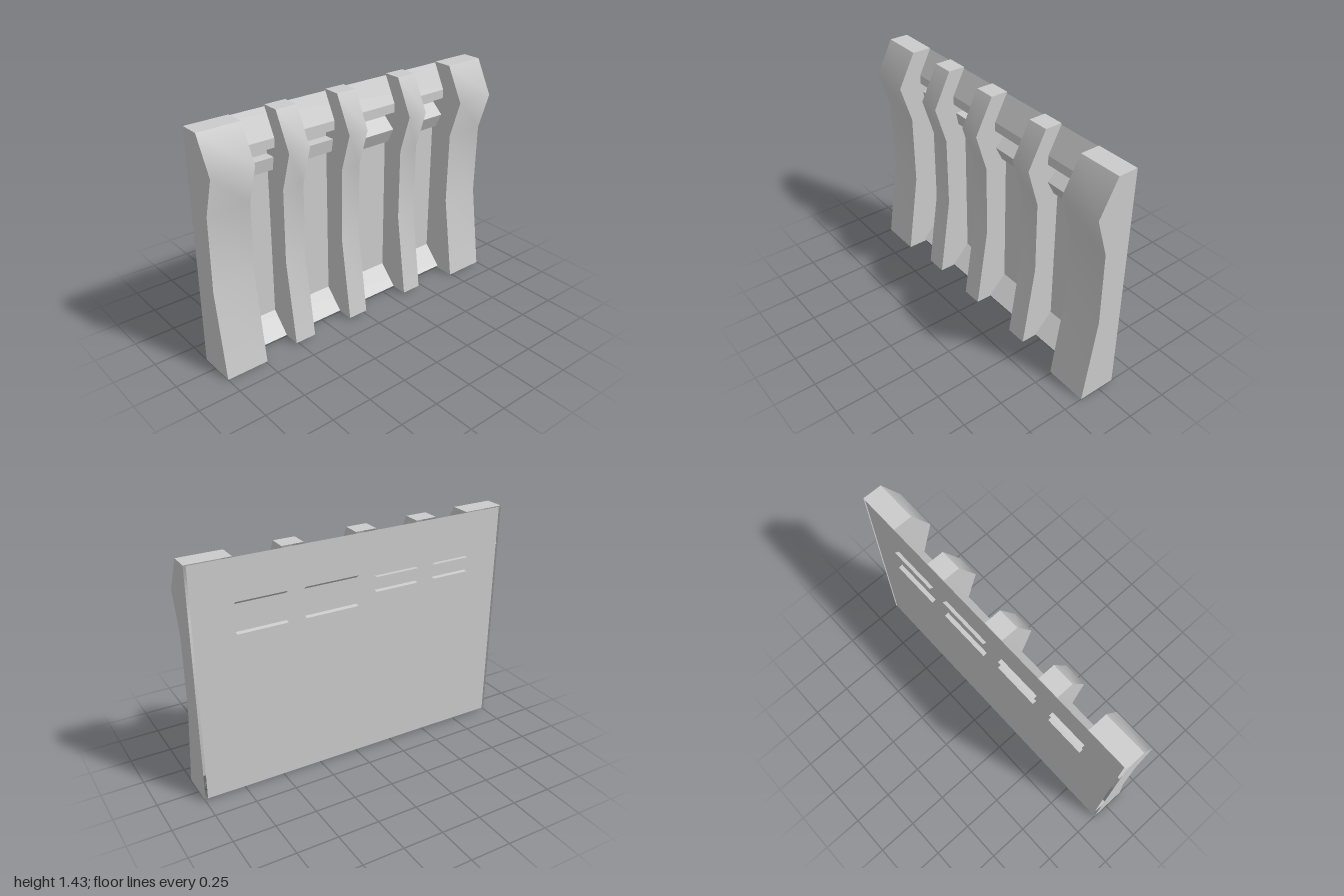
import * as THREE from 'three';

const material = new THREE.MeshStandardMaterial({ color: 0xcccccc, side: THREE.DoubleSide });

// Sweeps a [z, y] profile, listed from the top down, across x.
function sheet(profile, x0, x1, smooth = false) {
  const positions = [];
  const index = [];
  profile.forEach(([z, y], i) => {
    positions.push(x0, y, z, x1, y, z);
    if (i > 0) {
      const a = 2 * (i - 1);
      index.push(a, a + 2, a + 3, a, a + 3, a + 1);
    }
  });
  let geometry = new THREE.BufferGeometry();
  geometry.setAttribute('position', new THREE.Float32BufferAttribute(positions, 3));
  geometry.setIndex(index);
  if (!smooth) geometry = geometry.toNonIndexed();
  geometry.computeVertexNormals();
  return geometry;
}

// Flat side wall of a [z, y] outline, facing +x or -x.
function sideWall(outline, x, direction) {
  const shape = new THREE.Shape(outline.map(([z, y]) => new THREE.Vector2(-direction * z, y)));
  return new THREE.ShapeGeometry(shape).rotateY(direction * Math.PI / 2).translate(x, 0, 0);
}

function add(parent, name, geometry) {
  const mesh = new THREE.Mesh(geometry, material);
  mesh.name = name;
  parent.add(mesh);
}

// Hollow rib: smooth curved face, flat top and two side walls.
function makeRib(name, x0, x1, front, back) {
  const rib = new THREE.Group();
  rib.name = name;
  const top = front[0];
  const bottom = front[front.length - 1];
  add(rib, 'ribFace', sheet(front, x0, x1, true));
  add(rib, 'ribTop', sheet([[back, top[1]], top], x0, x1));
  const outline = [[back, top[1]], ...front, [back, bottom[1]]];
  add(rib, 'ribRightSide', sideWall(outline, x0, -1));
  add(rib, 'ribLeftSide', sideWall(outline, x1, 1));
  return rib;
}

export function createModel() {
  const model = new THREE.Group();
  model.name = 'wallPanel';
  const back = -0.105;

  // Thin back wall with the sloping lintel and sill in front of it
  add(model, 'backWall', sheet([[back, 1.42], [back, 0.015]], -0.985, 0.985));
  add(model, 'lintel', sheet([[back, 1.42], [-0.025, 1.265], [-0.025, 1.21], [back, 1.185]], -0.995, 0.96));
  add(model, 'sill', sheet([[back, 0.135], [0.01, 0.015]], -0.985, 0.985));

  // Wide ribs at the ends
  const wide = [[0.015, 1.425], [0.125, 1.215], [0.053, 0.98], [0.05, 0.53], [0.13, 0]];
  model.add(makeRib('rightEndRib', -1, -0.74, wide, back));
  model.add(makeRib('leftEndRib', 0.74, 1, wide, back));

  // Narrow ribs between the bays
  const narrow = [[0, 1.43], [0.108, 1.215], [0.037, 0.98], [0.034, 0.53], [0.11, 0.012]];
  [[-0.52, -0.385], [-0.115, 0.015], [0.335, 0.465]].forEach(([x0, x1], i) => {
    model.add(makeRib('middleRib' + (i + 1), x0, x1, narrow, back));
  });

  // Rails under the lintel, passing through the back wall
  const slimRail = [[-0.13, 1.15], [-0.04, 1.15], [-0.055, 1.07], [-0.13, 1.06]];
  const deepRail = [[-0.13, 1.185], [back, 1.165], [-0.03, 1.1], [-0.075, 1.01], [-0.13, 1]];
  add(model, 'slimRailOuter', sheet(slimRail, -0.75, -0.51));
  add(model, 'slimRailInner', sheet(slimRail, -0.39, -0.11));
  add(model, 'deepRailInner', sheet(deepRail, 0.01, 0.34));
  add(model, 'deepRailOuter', sheet(deepRail, 0.45, 0.75));

  return model;
}
